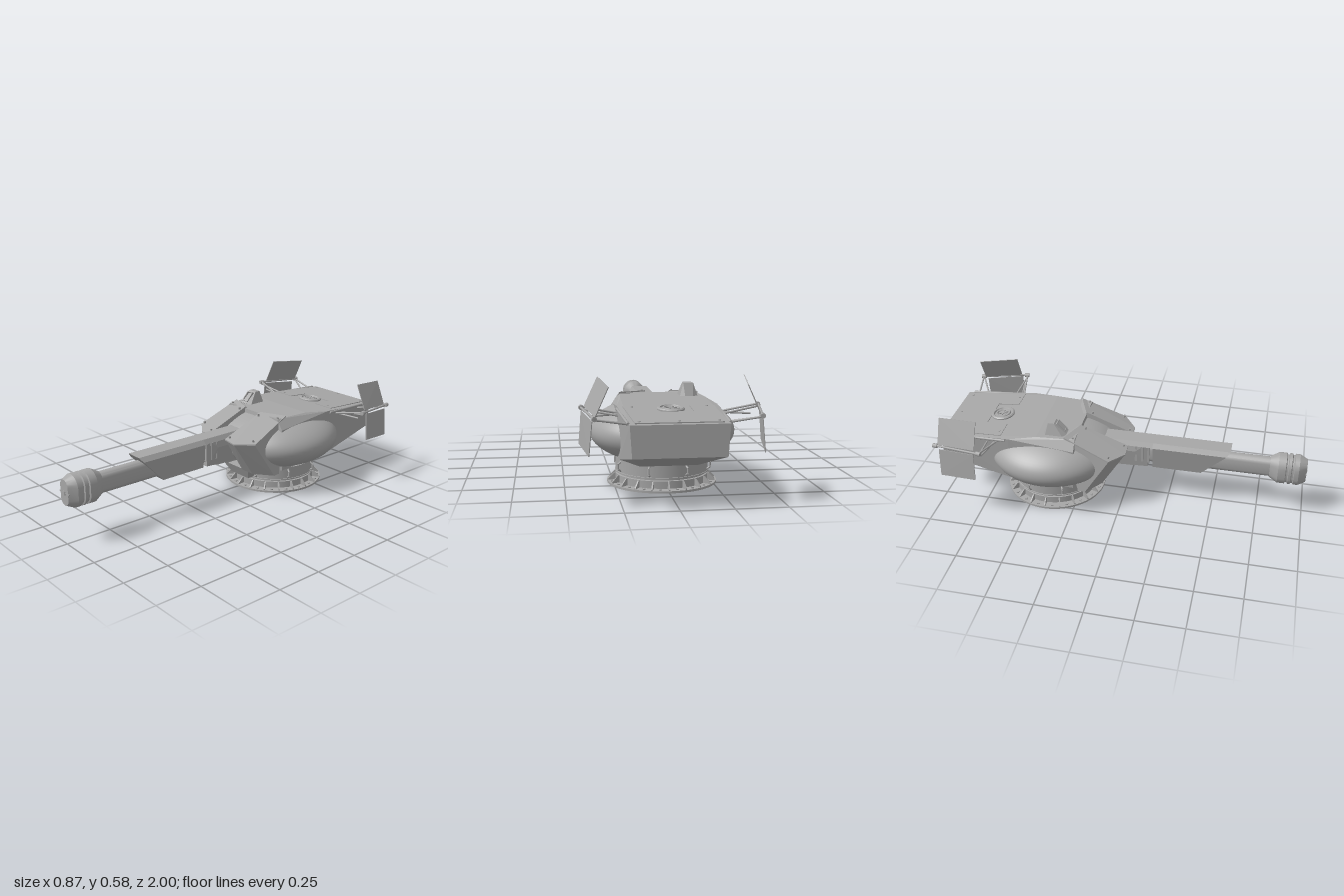
import * as THREE from 'three';
import { toCreasedNormals } from 'three/addons/utils/BufferGeometryUtils.js';
import { ConvexGeometry } from 'three/addons/geometries/ConvexGeometry.js';

const V = (x, y, z) => new THREE.Vector3(x, y, z);
const RING_Z = -0.41;

export function createModel() {
  const root = new THREE.Group();
  const grey = new THREE.MeshStandardMaterial({ color: 0xa6a6a6 });
  grey.name = 'armour grey';

  const add = (name, geo, parent = root) => {
    const m = new THREE.Mesh(geo, grey);
    m.name = name;
    parent.add(m);
    return m;
  };
  // Faceted solid around a list of corners; "both" repeats each corner on -x
  const solid = (pts) => new ConvexGeometry(pts.map((p) => V(...p)));
  const both = (pts) => pts.flatMap(([x, y, z]) => [[x, y, z], [-x, y, z]]);
  const box = (name, w, h, d, x, y, z, parent = root) => {
    const m = add(name, new THREE.BoxGeometry(w, h, d), parent);
    m.position.set(x, y, z);
    return m;
  };
  const rod = (name, a, b, r, parent = root) => {
    const p = V(...a), q = V(...b), dir = q.clone().sub(p);
    const m = add(name, new THREE.CylinderGeometry(r, r, dir.length(), 10), parent);
    m.position.copy(p).add(q).multiplyScalar(0.5);
    m.quaternion.setFromUnitVectors(V(0, 1, 0), dir.normalize());
    return m;
  };
  const lathe = (pts, seg = 64) => toCreasedNormals(
    new THREE.LatheGeometry(pts.map(([r, y]) => new THREE.Vector2(r, y)), seg), 0.5);

  // Hollow turret ring with flange and neck
  const ring = new THREE.Group();
  ring.name = 'turretRing';
  ring.position.z = RING_Z;
  root.add(ring);
  add('ringShell', lathe([
    [0.22, 0], [0.28, 0], [0.28, 0.011], [0.237, 0.013], [0.237, 0.05], [0.228, 0.052],
    [0.228, 0.058], [0.24, 0.06], [0.24, 0.066], [0.237, 0.067], [0.237, 0.135], [0.215, 0.135],
    [0.215, 0.03], [0.22, 0.028], [0.22, 0],
  ]), ring);
  const ribShape = new THREE.Shape([
    new THREE.Vector2(0.23, 0.01), new THREE.Vector2(0.275, 0.01),
    new THREE.Vector2(0.275, 0.017), new THREE.Vector2(0.245, 0.048), new THREE.Vector2(0.23, 0.048)]);
  const ribGeo = new THREE.ExtrudeGeometry(ribShape, { depth: 0.007, bevelEnabled: false });
  ribGeo.translate(0, 0, -0.0035);
  for (let i = 0; i < 20; i++) {
    const a = (i / 20) * Math.PI * 2;
    add('ringRib', ribGeo, ring).rotation.y = a;
    const b = a + Math.PI / 20;
    box('ringBolt', 0.012, 0.007, 0.012, Math.cos(b) * 0.262, 0.014, Math.sin(b) * 0.262, ring);
    const inner = box('innerRib', 0.008, 0.09, 0.006, Math.cos(a) * 0.213, 0.075, -Math.sin(a) * 0.213, ring);
    inner.rotation.y = a;
  }
  // Handles on the neck of the ring
  for (let i = 0; i < 8; i++) {
    const g = new THREE.Group();
    g.name = 'neckHandle';
    g.rotation.y = ((i + 0.5) / 8) * Math.PI * 2;
    ring.add(g);
    rod('handleBar', [0.252, 0.085, 0], [0.252, 0.11, 0], 0.005, g);
    rod('handleFoot', [0.252, 0.085, 0], [0.234, 0.072, 0], 0.005, g);
    rod('handleFoot', [0.252, 0.11, 0], [0.234, 0.123, 0], 0.005, g);
  }

  // Flattened dome bulging from both sides of the hull
  const dome = new THREE.SphereGeometry(0.37, 64, 40);
  dome.scale(1, 0.445, 1);
  dome.translate(0, 0.269, RING_Z);
  add('dome', dome);

  // Main hull
  add('hull', solid(both([
    [0.2, 0.436, -0.24], [0.215, 0.436, -0.45], [0.247, 0.42, -0.6], [0.225, 0.39, -1],
    [0.215, 0.24, -1], [0.238, 0.16, -0.62], [0.14, 0.13, -0.66],
    [0.15, 0.13, -0.2], [0.24, 0.14, -0.25], [0.24, 0.38, -0.24],
  ])));
  add('frontFloor', solid(both([
    [0.11, 0.132, -0.11], [0.072, 0.068, -0.145], [0.072, 0.068, -0.25], [0.11, 0.132, -0.25]])));

  // Angled front cheeks with bolts, and side rails
  for (const s of [1, -1]) {
    const m = (pts) => pts.map(([x, y, z]) => [x * s, y, z]);
    const p = (x, y, z) => [x * s, y, z];
    add('frontCheek', solid(m([
      [0.065, 0.44, -0.24], [0.205, 0.44, -0.3], [0.065, 0.338, 0.02], [0.135, 0.328, 0.02],
      [0.228, 0.335, -0.05], [0.065, 0.13, -0.105], [0.15, 0.13, -0.105],
      [0.25, 0.13, -0.18], [0.065, 0.13, -0.25], [0.245, 0.13, -0.22], [0.065, 0.43, -0.29]])));
    add('cheekRoofPlate', solid(m([
      [0.064, 0.446, -0.24], [0.207, 0.446, -0.3], [0.064, 0.344, 0.024], [0.135, 0.334, 0.024],
      [0.232, 0.341, -0.05], [0.064, 0.438, -0.24], [0.207, 0.438, -0.3],
      [0.064, 0.337, 0.024], [0.135, 0.327, 0.024], [0.232, 0.334, -0.05]])));
    for (const [x, y, z] of [[0.08, 0.436, -0.21], [0.19, 0.434, -0.255], [0.08, 0.352, 0.002], [0.208, 0.352, -0.055]])
      rod('cheekBolt', p(x, y - 0.006, z - 0.002), p(x, y + 0.01, z + 0.003), 0.006);
    rod('sideRail', p(0.247, 0.408, -0.62), p(0.229, 0.392, -0.97), 0.007);

    // Folding side panels carried on struts
    const wing = new THREE.Group();
    wing.name = 'sidePanelAssembly';
    root.add(wing);
    const panel = (name, corners) => {
      const c = m(corners).map((q) => V(...q));
      const n = c[1].clone().sub(c[0]).cross(c[3].clone().sub(c[0])).normalize().multiplyScalar(0.002);
      add(name, new ConvexGeometry(c.flatMap((q) => [q.clone().add(n), q.clone().sub(n)])), wing);
    };
    panel('upperPanel', [[0.346, 0.576, -0.73], [0.312, 0.553, -0.95], [0.372, 0.42, -0.95], [0.41, 0.438, -0.73]]);
    panel('lowerPanel', [[0.423, 0.42, -0.73], [0.385, 0.4, -0.94], [0.4, 0.243, -0.94], [0.435, 0.265, -0.73]]);
    rod('hingeRod', p(0.427, 0.432, -0.69), p(0.374, 0.415, -0.975), 0.006, wing);
    for (const [f, t] of [
      [[0.25, 0.395, -0.67], [0.42, 0.432, -0.7]], [[0.25, 0.39, -0.72], [0.42, 0.42, -0.7]],
      [[0.22, 0.385, -0.94], [0.376, 0.412, -0.965]], [[0.23, 0.38, -0.88], [0.376, 0.41, -0.96]],
      [[0.25, 0.392, -0.68], [0.385, 0.388, -0.71]]])
      rod('strut', p(...f), p(...t), 0.005, wing);
    rod('hingeKnuckle', p(0.424, 0.43, -0.69), p(0.42, 0.43, -0.715), 0.012, wing);
    rod('hingeKnuckle', p(0.38, 0.416, -0.95), p(0.376, 0.416, -0.975), 0.012, wing);
  }

  // Oval lofts along z: sections are [z, halfWidth, halfHeight]
  const GUN_Y = 0.277;
  const ovalLoft = (name, sections) => {
    for (let i = 0; i + 1 < sections.length; i++) {
      const pts = [];
      for (const [z, r, h] of sections.slice(i, i + 2))
        for (let k = 0; k < 24; k++) {
          const a = ((k + 0.5) / 24) * Math.PI * 2, up = Math.sin(a) > 0 ? 1 : -1;
          pts.push([r * Math.cos(a), GUN_Y + up * (h - r) + r * Math.sin(a), z]);
        }
      add(name, toCreasedNormals(solid(pts), 0.5));
    }
  };
  ovalLoft('barrel', [[-0.1, 0.033, 0.058], [0.83, 0.033, 0.058]]);
  ovalLoft('muzzle', [
    [0.8, 0.038, 0.062], [0.845, 0.066, 0.088], [0.885, 0.066, 0.088], [0.889, 0.058, 0.08],
    [0.897, 0.058, 0.08], [0.901, 0.066, 0.088], [0.915, 0.066, 0.088], [0.919, 0.058, 0.08],
    [0.927, 0.058, 0.08], [0.931, 0.066, 0.088], [0.955, 0.066, 0.088], [0.996, 0.036, 0.068]]);
  box('muzzleBar', 0.09, 0.004, 0.006, 0, GUN_Y, 0.994);
  box('muzzleStud', 0.02, 0.02, 0.008, 0, GUN_Y, 0.996);

  // Gun shroud, roof strip and cradle
  add('gunShroud', solid(both([
    [0.045, 0.367, 0.16], [0.045, 0.367, 0.585], [0.063, 0.342, 0.16], [0.063, 0.342, 0.565],
    [0.04, 0.203, 0.16], [0.04, 0.203, 0.43]])));
  add('shroudRoof', solid(both([
    [0.045, 0.367, -0.14], [0.045, 0.367, 0.17], [0.06, 0.342, -0.12], [0.06, 0.342, 0.17]])));
  add('gunCradle', solid(both([
    [0.04, 0.35, -0.14], [0.04, 0.35, 0.06], [0.05, 0.3, -0.12], [0.05, 0.3, 0.06],
    [0.035, 0.19, -0.1], [0.035, 0.2, 0.13], [0.035, 0.35, 0.13]])));
  add('cradleFoot', solid(both([
    [0.02, 0.183, -0.08], [0.02, 0.183, 0.03], [0.02, 0.2, 0.13], [0.02, 0.24, 0.13], [0.02, 0.24, -0.08]])));
  for (const z of [0.065, 0.1, 0.135]) box('cradleBand', 0.094, 0.1, 0.012, 0, 0.285, z);

  // Sight on the roof: two posts, cap and sunken window
  add('sightHousing', solid([-0.187, -0.093].flatMap((x) => [[x, 0.43, -0.31], [x, 0.43, -0.41]])
    .concat([[-0.165, 0.5, -0.362], [-0.113, 0.5, -0.362], [-0.165, 0.5, -0.395], [-0.113, 0.5, -0.395],
      [-0.16, 0.43, -0.425], [-0.12, 0.43, -0.425], [-0.16, 0.44, -0.295], [-0.12, 0.44, -0.295]])));
  const sight = new THREE.Group();
  sight.name = 'sightWindow';
  sight.position.set(-0.139, 0.47, -0.33);
  sight.rotation.x = -0.75;
  root.add(sight);
  for (const s of [1, -1]) {
    box('windowSide', 0.006, 0.066, 0.02, s * 0.019, 0, 0, sight);
    box('windowEdge', 0.038, 0.006, 0.02, 0, s * 0.03, 0, sight);
  }

  // Rear roof plate, hatch and bolts, tilted with the deck
  const deck = new THREE.Group();
  deck.name = 'rearDeck';
  deck.position.set(0, 0.413, -0.71);
  deck.rotation.x = -0.077;
  root.add(deck);
  const plate = new THREE.Shape([[-0.2, -0.27], [0.2, -0.27], [0.222, 0.06], [0.1, 0.06], [0.1, -0.06],
    [-0.1, -0.06], [-0.1, 0.06], [-0.222, 0.06]].map(([x, z]) => new THREE.Vector2(x, -z)));
  const plateGeo = new THREE.ExtrudeGeometry(plate, { depth: 0.005, bevelEnabled: false });
  plateGeo.rotateX(-Math.PI / 2);
  add('rearRoofPlate', plateGeo, deck);
  add('hatch', lathe([[0.066, -0.005], [0.066, 0.008], [0.06, 0.013], [0.051, 0.013], [0.047, 0.006],
    [0.043, 0.006], [0.04, 0.012], [0.032, 0.012], [0.029, 0.007], [0, 0.007]], 32), deck);
  for (let i = 0; i < 3; i++)
    box('hatchSpoke', 0.06, 0.006, 0.007, 0, 0.009, 0, deck).rotation.y = (i * Math.PI) / 3;
  for (const x of [-0.18, 0, 0.18]) for (const z of [-0.25, 0.04])
    if (x || z < 0) rod('deckBolt', [x, 0, z], [x, 0.009, z], 0.006, deck);

  return root;
}
